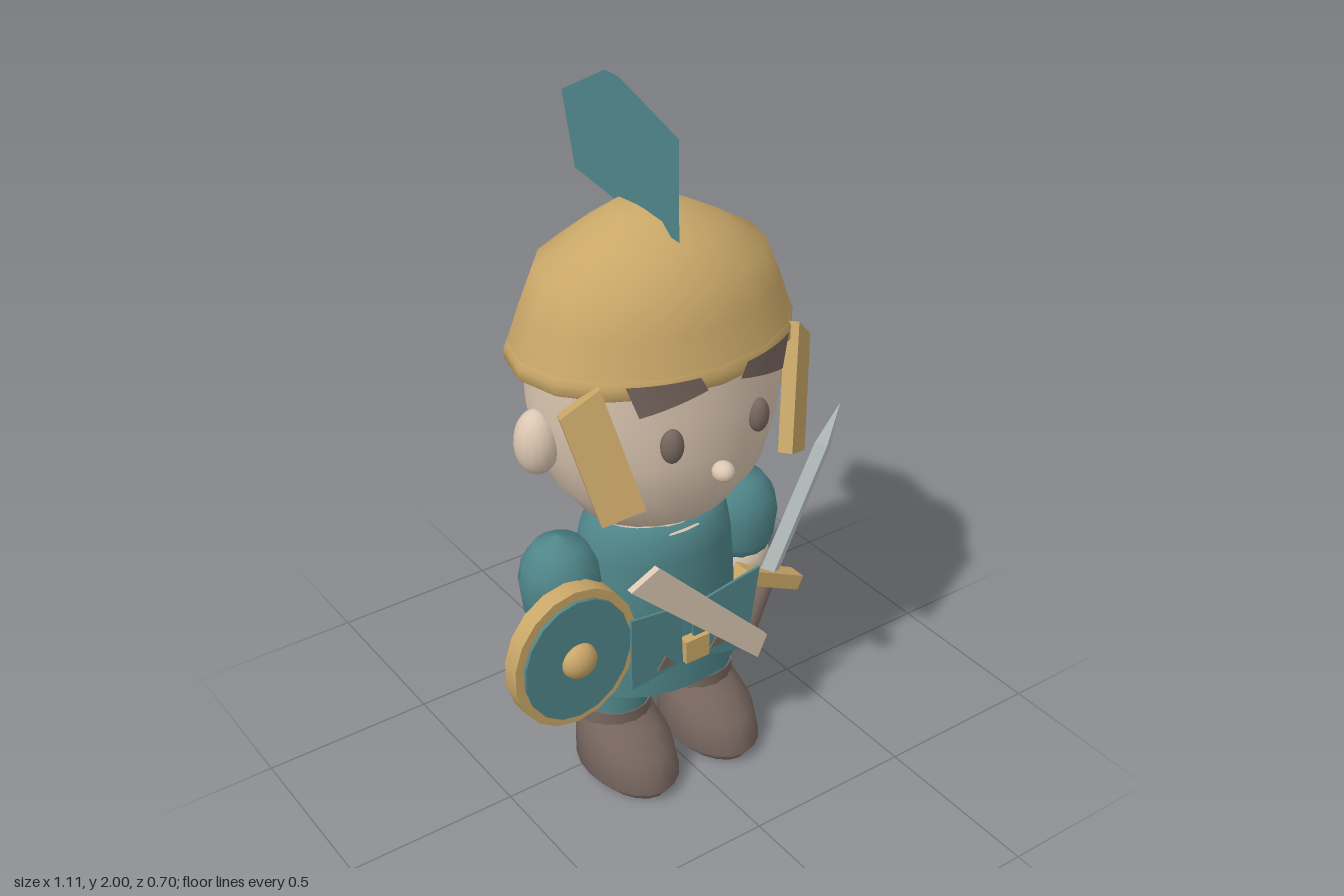
import * as THREE from 'three';
import { ConvexGeometry } from 'three/addons/geometries/ConvexGeometry.js';

const mat = (name, color, extra = {}) => {
  const m = new THREE.MeshStandardMaterial({ color, ...extra });
  m.name = name;
  return m;
};

// Stacks elliptical rings [y, rx, rz, cz] from bottom to top; a repeated ring makes a crease.
function loft(rings, n = 24) {
  const pos = [], index = [];
  rings.forEach(([y, rx, rz, cz = 0]) => {
    for (let j = 0; j < n; j++) {
      const a = (j / n) * Math.PI * 2;
      pos.push(rx * Math.sin(a), y, cz + rz * Math.cos(a));
    }
  });
  for (let i = 0; i < rings.length - 1; i++) {
    for (let j = 0; j < n; j++) {
      const a = i * n + j, b = i * n + (j + 1) % n;
      index.push(a, b, a + n, b, b + n, a + n);
    }
  }
  const g = new THREE.BufferGeometry();
  g.setAttribute('position', new THREE.Float32BufferAttribute(pos, 3));
  g.setIndex(index);
  g.computeVertexNormals();
  return g;
}

// Flat plate cut from an outline in the xy plane.
function plate(points, z, depth) {
  const shape = new THREE.Shape(points.map(([x, y]) => new THREE.Vector2(x, y)));
  return new THREE.ExtrudeGeometry(shape, { depth, bevelEnabled: false }).translate(0, 0, z);
}

const ball = (rx, ry, rz, n = 16) => new THREE.SphereGeometry(1, n, Math.ceil(n * 0.7)).scale(rx, ry, rz);

export function createModel() {
  const teal = mat('teal cloth', 0x4f8589);
  const tealSheet = mat('teal plume', 0x4f8589, { side: THREE.DoubleSide });
  const gold = mat('gold', 0xc9a768);
  const skin = mat('skin', 0xdcc7b2);
  const brown = mat('brown leather', 0x77665f);
  const brownSheet = mat('brown brows', 0x77665f, { side: THREE.DoubleSide });
  const steel = mat('steel', 0xbfc8c8, { flatShading: true });

  const model = new THREE.Group();
  const figure = new THREE.Group();
  figure.name = 'figure';
  figure.position.x = -0.012;
  model.add(figure);

  const add = (name, geo, material, x = 0, y = 0, z = 0, parent = figure) => {
    const m = new THREE.Mesh(geo, material);
    m.name = name;
    m.position.set(x, y, z);
    parent.add(m);
    return m;
  };

  // Head and face
  add('head', loft([
    [0.842, 0, 0], [0.842, 0.16, 0.125], [0.87, 0.22, 0.185], [0.98, 0.302, 0.257],
    [1.1, 0.345, 0.272], [1.22, 0.365, 0.28], [1.345, 0.362, 0.274],
  ].map(r => [...r, 0.02])), skin);
  add('nose', ball(0.03, 0.028, 0.032), skin, 0, 1.07, 0.318);

  // Helmet with rolled rim, and plume
  add('helmet', loft([
    [1.315, 0.35, 0.265], [1.31, 0.385, 0.295], [1.32, 0.402, 0.31],
    [1.35, 0.402, 0.31], [1.367, 0.393, 0.302], [1.367, 0.393, 0.302],
    [1.46, 0.36, 0.279], [1.56, 0.318, 0.25], [1.63, 0.203, 0.172], [1.685, 0.1, 0.1], [1.695, 0, 0],
  ], 16), gold);
  const plume = new THREE.ShapeGeometry(new THREE.Shape([
    [0.165, 1.655], [0.16, 1.92], [-0.09, 2], [-0.15, 2], [-0.35, 1.89], [-0.295, 1.695], [-0.1, 1.67],
  ].map(([z, y]) => new THREE.Vector2(-z, y))));
  add('plume', plume.rotateY(Math.PI / 2), tealSheet, -0.032);

  // Torso
  add('tunic', loft([
    [0.305, 0, 0], [0.3, 0.25, 0.177], [0.308, 0.262, 0.187], [0.45, 0.25, 0.18], [0.6, 0.242, 0.176],
    [0.72, 0.23, 0.172], [0.79, 0.218, 0.16], [0.825, 0.19, 0.125], [0.83, 0, 0],
  ].map(r => [...r, 0.012])), teal);
  add('neck', loft([
    [0.803, 0.17, 0.15], [0.812, 0.17, 0.135], [0.855, 0.17, 0.11],
  ].map(r => [...r, 0.012])), skin);
  add('belt', loft([
    [0.42, 0.24, 0.16], [0.42, 0.26, 0.176], [0.42, 0.26, 0.176],
    [0.485, 0.256, 0.174], [0.485, 0.256, 0.174], [0.485, 0.235, 0.155],
  ].map(r => [...r, -0.006])), brown);
  add('rightFrontPanel', plate([[-0.21, 0.62], [-0.21, 0.39], [-0.04, 0.41], [-0.05, 0.6]], 0.2, 0.008), teal);
  add('leftFrontPanel', plate([[-0.01, 0.585], [0, 0.41], [0.18, 0.36], [0.22, 0.625]], 0.2, 0.008), teal);
  add('buckle', new THREE.BoxGeometry(0.078, 0.072, 0.03), gold, 0, 0.447, 0.207);
  for (const x of [-0.1, 0.078]) {
    add('beltTab', plate([[x - 0.028, 0.42], [x + 0.028, 0.42], [x, 0.46]], 0.208, 0.005), brown);
  }
  add('sash', plate([[-0.22, 0.725], [0.212, 0.323], [0.243, 0.39], [-0.131, 0.767]], 0.203, 0.02), skin);

  for (const s of [1, -1]) {
    const side = s > 0 ? 'left' : 'right';

    // Ear and eye
    add(side + 'Ear', ball(0.06, 0.092, 0.06), skin, s * 0.368, 1.14, 0.02);
    add(side + 'Eye', ball(0.031, 0.048, 0.026), brown, s * 0.136, 1.175, 0.284).rotation.y = s * 0.3;

    // Brow curved around the rim
    const brow = new THREE.PlaneGeometry(1, 1, 6, 1);
    const p = brow.attributes.position;
    for (let i = 0; i < p.count; i++) {
      const u = p.getX(i) + 0.5, top = p.getY(i) > 0;
      const x = top ? 0.072 + 0.18 * u : 0.05 + 0.173 * u;
      p.setXYZ(i, s * x, top ? 1.363 : 1.322 - 0.047 * u, 0.319 * Math.sqrt(1 - (x / 0.41) ** 2));
    }
    if (s < 0) brow.index.array.reverse();
    brow.computeVertexNormals();
    add(side + 'Brow', brow, brownSheet);

    // Slanted cheek guard slab
    const outer = [[0.308, 1.365, 0.225], [0.392, 1.283, 0.172], [0.325, 0.985, 0.25], [0.232, 1.035, 0.31]];
    const corners = outer.flatMap(([x, y, z]) => [
      new THREE.Vector3(s * x, y, z), new THREE.Vector3(s * (x - 0.016), y - 0.008, z - 0.04),
    ]);
    add(side + 'CheekGuard', new ConvexGeometry(corners), gold);

    // Arm
    const arm = new THREE.Group();
    arm.name = side + 'Arm';
    arm.position.set(s * 0.3, 0, 0);
    figure.add(arm);
    add('sleeve', loft([
      [0.56, 0, 0], [0.56, 0.085, 0.088], [0.6, 0.105, 0.104], [0.68, 0.115, 0.112],
      [0.74, 0.104, 0.102], [0.79, 0.07, 0.068], [0.818, 0, 0],
    ], 14), teal, 0, 0, 0, arm);
    add('cuff', loft([
      [0.495, 0, 0], [0.497, 0.073, 0.08], [0.515, 0.087, 0.096], [0.55, 0.09, 0.1], [0.572, 0.082, 0.09],
    ], 16), skin, 0, 0, 0, arm);
    add('wristband', loft([[0.475, 0, 0], [0.475, 0.062, 0.062], [0.475, 0.062, 0.062], [0.515, 0.066, 0.066]], 16),
      teal, 0, 0, 0.015, arm);
    add('hand', ball(0.083, 0.09, 0.067), skin, -s * 0.004, 0.424, 0.025, arm);

    // Leg and boot
    const leg = new THREE.Group();
    leg.name = side + 'Leg';
    leg.position.x = s * 0.143;
    figure.add(leg);
    add('trouser', loft([[0.18, 0.098, 0.096, 0.025], [0.34, 0.098, 0.096, 0.025]], 16), teal, 0, 0, 0, leg);
    add('boot', loft([
      [0, 0, 0, 0.08], [0, 0.1, 0.16, 0.08], [0.035, 0.13, 0.182, 0.082],
      [0.12, 0.125, 0.164, 0.066], [0.165, 0.112, 0.128, 0.036], [0.2, 0.103, 0.1, 0.018],
    ], 20), brown, 0, 0, 0, leg);
    add('bootCuff', loft([
      [0.188, 0.095, 0.09], [0.188, 0.108, 0.106], [0.188, 0.108, 0.106],
      [0.232, 0.108, 0.106], [0.232, 0.108, 0.106], [0.232, 0.09, 0.085],
    ].map(r => [...r, 0.018]), 16), brown, 0, 0, 0, leg);
  }

  // Round shield on the right arm
  const shield = new THREE.Group();
  shield.name = 'shield';
  shield.position.set(-0.35, 0.527, 0);
  figure.add(shield);
  const disc = (rx, ry, d) => new THREE.CylinderGeometry(1, 1, d, 18).rotateX(Math.PI / 2).scale(rx, ry, 1);
  add('shieldRim', disc(0.192, 0.214, 0.053), gold, 0, 0, 0.127, shield);
  add('shieldFace', disc(0.166, 0.187, 0.014), teal, 0, 0, 0.157, shield);
  add('shieldBoss', ball(0.053, 0.053, 0.04), gold, 0, 0, 0.163, shield);

  // Sword in the left hand
  const sword = new THREE.Group();
  sword.name = 'sword';
  sword.position.set(0.327, 0.492, 0.11);
  sword.rotation.z = -0.455;
  figure.add(sword);
  add('blade', loft([[0, 0.038, 0.02], [0.42, 0.034, 0.018], [0.55, 0, 0]], 4), steel, 0, 0, 0, sword);
  add('crossguard', new THREE.BoxGeometry(0.23, 0.045, 0.055), gold, 0, 0, 0, sword);
  add('grip', new THREE.CylinderGeometry(0.027, 0.034, 0.14, 12), brown, 0, -0.09, 0, sword);

  return model;
}
